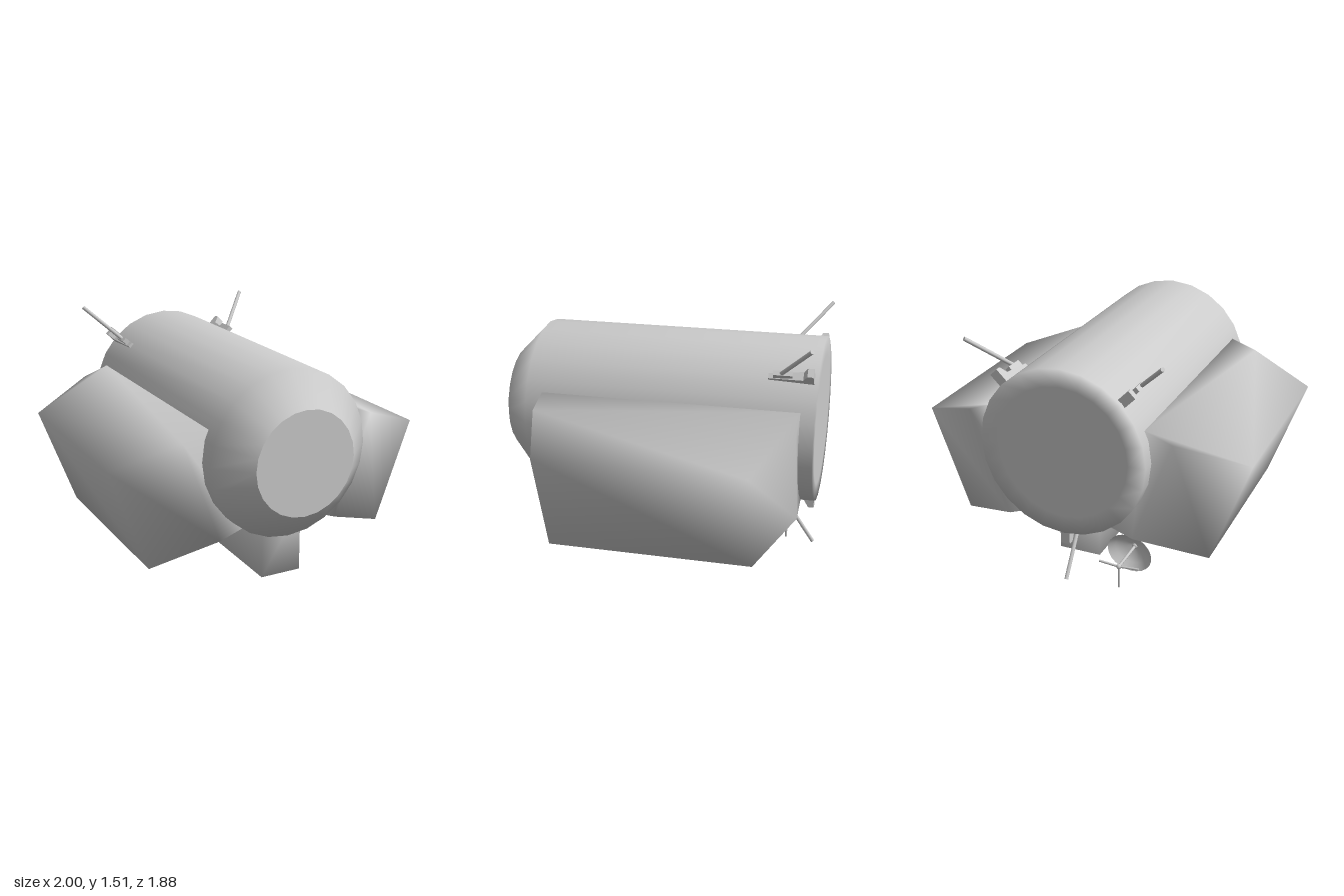
import * as THREE from 'three';
import { mergeVertices } from 'three/addons/utils/BufferGeometryUtils.js';

const material = new THREE.MeshStandardMaterial({ color: 0xcccccc });
const thinMaterial = new THREE.MeshStandardMaterial({ color: 0xcccccc, side: THREE.DoubleSide });
const CENTRE_Y = 0.93;

function add(parent, name, geometry, x = 0, y = 0, z = 0, mat = material) {
  const mesh = new THREE.Mesh(geometry, mat);
  mesh.name = name;
  mesh.position.set(x, y, z);
  parent.add(mesh);
  return mesh;
}

// Weld the corners so the shading runs smoothly round them
function smooth(geometry) {
  geometry.deleteAttribute('uv');
  geometry.deleteAttribute('normal');
  const welded = mergeVertices(geometry, 1e-4);
  welded.computeVertexNormals();
  return welded;
}

// Straight rod between two points
function rod(parent, name, from, to, radius) {
  const a = new THREE.Vector3(...from), b = new THREE.Vector3(...to);
  const mesh = add(parent, name, new THREE.CylinderGeometry(radius, radius, a.distanceTo(b), 8));
  mesh.position.copy(a).lerp(b, 0.5);
  mesh.quaternion.setFromUnitVectors(new THREE.Vector3(0, 1, 0), b.sub(a).normalize());
  return mesh;
}

function prism(points, depth) {
  const shape = new THREE.Shape(points.map(p => new THREE.Vector2(...p)));
  return new THREE.ExtrudeGeometry(shape, { depth, bevelEnabled: false }).translate(0, 0, -depth / 2);
}

// Raised frame around a recessed opening, facing +z
function frame(width, height) {
  const rect = (P, w, h) => new P([[-w, -h], [w, -h], [w, h], [-w, h]].map(p => new THREE.Vector2(...p)));
  const shape = rect(THREE.Shape, width / 2, height / 2);
  shape.holes.push(rect(THREE.Path, width / 2 - 0.015, height / 2 - 0.015));
  return new THREE.ExtrudeGeometry(shape, { depth: 0.03, bevelEnabled: false });
}

// Antenna on a bracket; local +y points away from the hull axis
function antenna(angle) {
  const group = new THREE.Group();
  group.name = 'antenna';
  group.position.y = CENTRE_Y;
  group.rotation.z = -angle;
  const bracket = prism([[-0.92, 0.48], [-0.66, 0.48], [-0.66, 0.51], [-0.86, 0.53],
    [-0.885, 0.575], [-0.92, 0.575]], 0.055).rotateY(-Math.PI / 2);
  // Narrow the bracket toward its front end
  const p = bracket.attributes.position;
  for (let i = 0; i < p.count; i++) if (p.getZ(i) > -0.7) p.setX(i, p.getX(i) * 0.6);
  bracket.computeVertexNormals();
  add(group, 'antennaBracket', bracket);
  add(group, 'antennaSocket', new THREE.BoxGeometry(0.03, 0.06, 0.11), 0, 0.52, -0.745);
  rod(group, 'antennaRod', [0, 0.52, -0.72], [0, 0.815, -0.922], 0.012);
  return group;
}

export function createModel() {
  const model = new THREE.Group();
  model.name = 'spacecraft';

  // Round hull with a tapered nose and a flat rear
  const profile = [[0, -0.94], [0.39, -0.94], [0.495, -0.94], [0.495, 0.76], [0.31, 0.94]];
  const hull = new THREE.LatheGeometry(profile.map(p => new THREE.Vector2(...p)), 24).rotateX(Math.PI / 2);
  add(model, 'hull', hull, 0, CENTRE_Y, 0);
  add(model, 'noseCap', new THREE.CircleGeometry(0.31, 24).rotateZ(Math.PI / 2), 0, CENTRE_Y, 0.94);

  // Side pods, tapering outward and tilted down by 20 degrees
  const tilt = THREE.MathUtils.degToRad(20);
  for (const [name, turn] of [['leftPod', -tilt], ['rightPod', Math.PI + tilt]]) {
    const outline = [[0.36, -0.86], [0.53, -0.86], [0.943, -0.665],
      [0.943, 0.535], [0.53, 0.662], [0.36, 0.662]];
    const pod = smooth(prism(outline, 0.66).rotateX(Math.PI / 2));
    add(model, name, pod, 0, CENTRE_Y, 0).rotation.z = turn;
  }

  // Box under the hull with framed panels on its side and back
  add(model, 'bellyBox', smooth(new THREE.BoxGeometry(0.26, 0.42, 1.135)), 0.075, 0.302, -0.008);
  add(model, 'sidePanel', frame(0.15, 0.1), 0.205, 0.36, -0.3).rotation.y = Math.PI / 2;
  add(model, 'backPanel', frame(0.12, 0.12), 0.1, 0.3, -0.568).rotation.y = Math.PI;

  // Two antennas above and one below
  for (const angle of [Math.PI / 4, -Math.PI / 4, Math.PI]) model.add(antenna(angle));

  // Dish on an arm, opening to the rear
  const dish = new THREE.Group();
  dish.name = 'dishAssembly';
  const bowl = [[0, 0], [0.06, 0.016], [0.105, 0.046], [0.14, 0.085]];
  add(dish, 'dish', new THREE.LatheGeometry(bowl.map(p => new THREE.Vector2(...p)), 24),
    -0.245, 0.16, -0.483, thinMaterial).rotation.x = -(Math.PI / 2 + 0.18);
  add(dish, 'dishJoint', new THREE.SphereGeometry(0.022, 12, 8), -0.245, 0.15, -0.475);
  rod(dish, 'dishArm', [-0.245, 0.15, -0.475], [-0.15, 0.48, -0.475], 0.015);
  rod(dish, 'feedRod', [-0.245, 0.145, -0.48], [-0.245, 0.145, -0.73], 0.009);
  add(dish, 'feedHub', new THREE.SphereGeometry(0.016, 10, 8), -0.245, 0.145, -0.725);
  for (const [dx, dy] of [[0, -0.14], [0.125, 0.01], [-0.125, 0.01]]) {
    rod(dish, 'feedProng', [-0.245, 0.145, -0.725], [-0.245 + dx, 0.145 + dy, -0.725], 0.007);
  }
  model.add(dish);
  return model;
}
